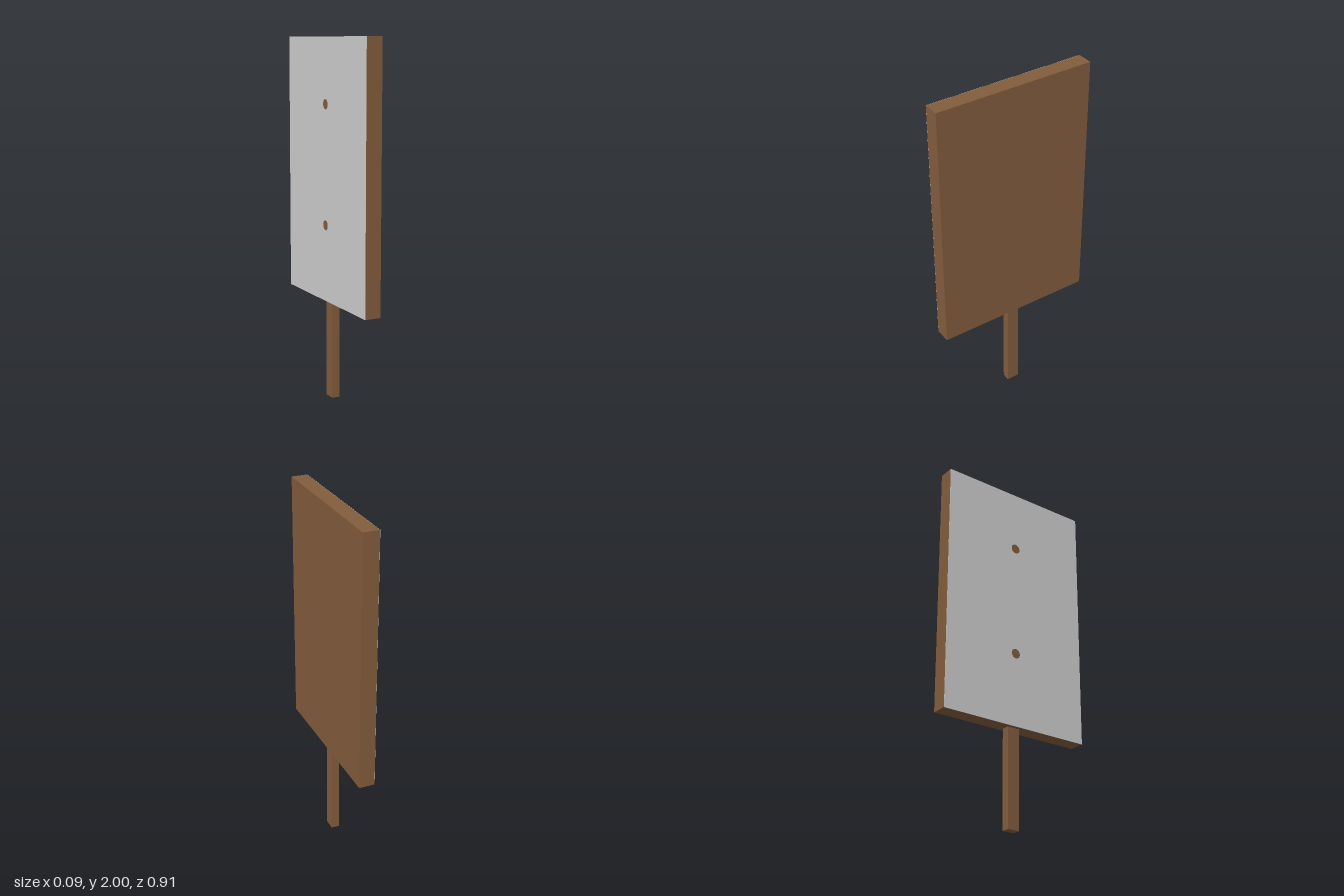
import * as THREE from 'three';

export function createModel() {
  const group = new THREE.Group();
  const wood = new THREE.MeshStandardMaterial({ color: 0x845d3d });
  wood.name = 'brown wood';
  const grey = new THREE.MeshStandardMaterial({ color: 0xd0d0d0 });
  grey.name = 'light grey';

  const bottom = 0.555, top = 2, halfWidth = 0.457, halfDepth = 0.045;

  const addBox = (name, w, h, d, y) => {
    const mesh = new THREE.Mesh(new THREE.BoxGeometry(w, h, d), wood);
    mesh.name = name;
    mesh.position.y = y;
    group.add(mesh);
  };

  // Post and thick wooden board
  addBox('post', 0.046, bottom, 0.072, bottom / 2);
  addBox('board', halfDepth * 2, top - bottom, halfWidth * 2, (top + bottom) / 2);

  // Thin face sheet on the -x side, with two round holes showing the wood
  const sheet = new THREE.Shape([
    new THREE.Vector2(-halfWidth, bottom),
    new THREE.Vector2(halfWidth, bottom),
    new THREE.Vector2(halfWidth, top),
    new THREE.Vector2(-halfWidth, top),
  ]);
  for (const y of [0.98, 1.64]) {
    sheet.holes.push(new THREE.Path().absarc(0, y, 0.028, 0, Math.PI * 2, true));
  }
  const geometry = new THREE.ExtrudeGeometry(sheet, { depth: 0.001, bevelEnabled: false, curveSegments: 16 });
  geometry.rotateY(-Math.PI / 2);
  const face = new THREE.Mesh(geometry, grey);
  face.name = 'faceSheet';
  face.position.x = -halfDepth;
  group.add(face);

  return group;
}
